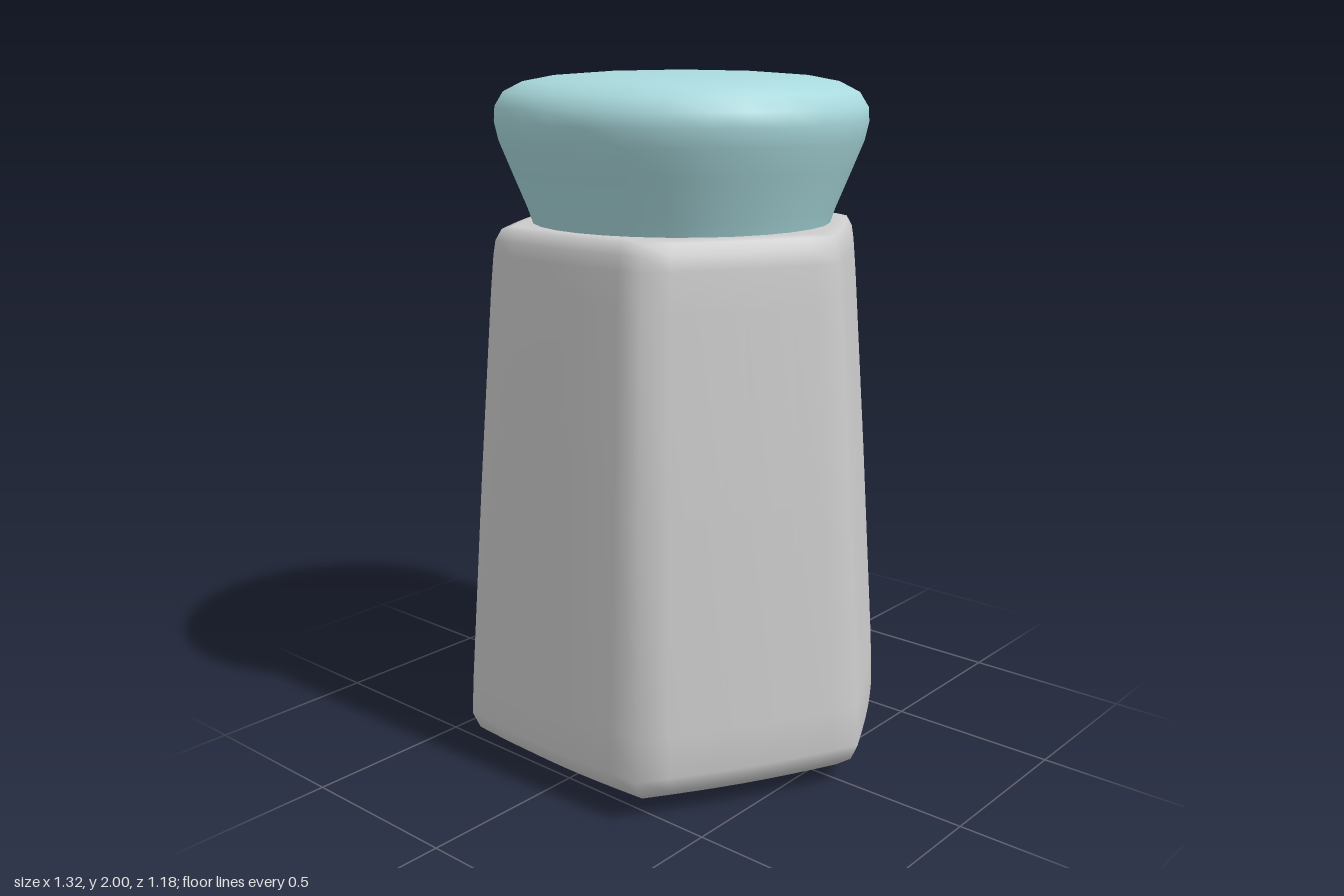
import * as THREE from 'three';
import { mergeVertices } from 'three/addons/utils/BufferGeometryUtils.js';

// Revolve a [radius, y] profile, optionally reshaping its rings, with smooth normals
function turned(profile, segments, ringScale) {
  let geo = new THREE.LatheGeometry(profile.map(([r, y]) => new THREE.Vector2(r, y)), segments);
  const pos = geo.attributes.position;
  if (ringScale) {
    for (let i = 0; i < pos.count; i++) {
      const x = pos.getX(i), z = pos.getZ(i);
      const s = ringScale(Math.atan2(z, x));
      pos.setX(i, x * s);
      pos.setZ(i, z * s);
    }
  }
  geo.deleteAttribute('uv');
  geo.deleteAttribute('normal');
  geo = mergeVertices(geo, 1e-4);
  geo.computeVertexNormals();
  return geo;
}

// Hexagon with a corner on +x and slightly bulging sides
function softHexagon(angle) {
  const step = Math.PI / 3;
  const a = ((angle % step) + step) % step - step / 2;
  const hex = Math.cos(step / 2) / Math.cos(a);
  return hex + 0.17 * (1 - hex);
}

export function createModel() {
  const glass = new THREE.MeshStandardMaterial({ color: 0xcccccc });
  glass.name = 'pale grey';
  const cap = new THREE.MeshStandardMaterial({ color: 0xa9d9dd });
  cap.name = 'light teal';
  const model = new THREE.Group();
  model.name = 'shaker';

  // Tapered six-sided jar with rounded base and shoulder
  const body = new THREE.Mesh(turned([
    [0, 0], [0.36, 0.008], [0.5, 0.02], [0.59, 0.045], [0.64, 0.08], [0.662, 0.13],
    [0.655, 0.25], [0.61, 0.85], [0.565, 1.4], [0.555, 1.5], [0.548, 1.54],
    [0.53, 1.57], [0.5, 1.577], [0.36, 1.577], [0, 1.577],
  ], 48, softHexagon), glass);
  body.name = 'body';

  // Flared round lid with a softly domed top
  const lid = new THREE.Mesh(turned([
    [0.425, 1.56], [0.445, 1.62], [0.49, 1.73], [0.522, 1.81], [0.533, 1.86], [0.53, 1.9],
    [0.505, 1.94], [0.45, 1.968], [0.36, 1.985], [0.2, 1.996], [0, 2],
  ], 30), cap);
  lid.name = 'lid';

  model.add(body, lid);
  return model;
}
